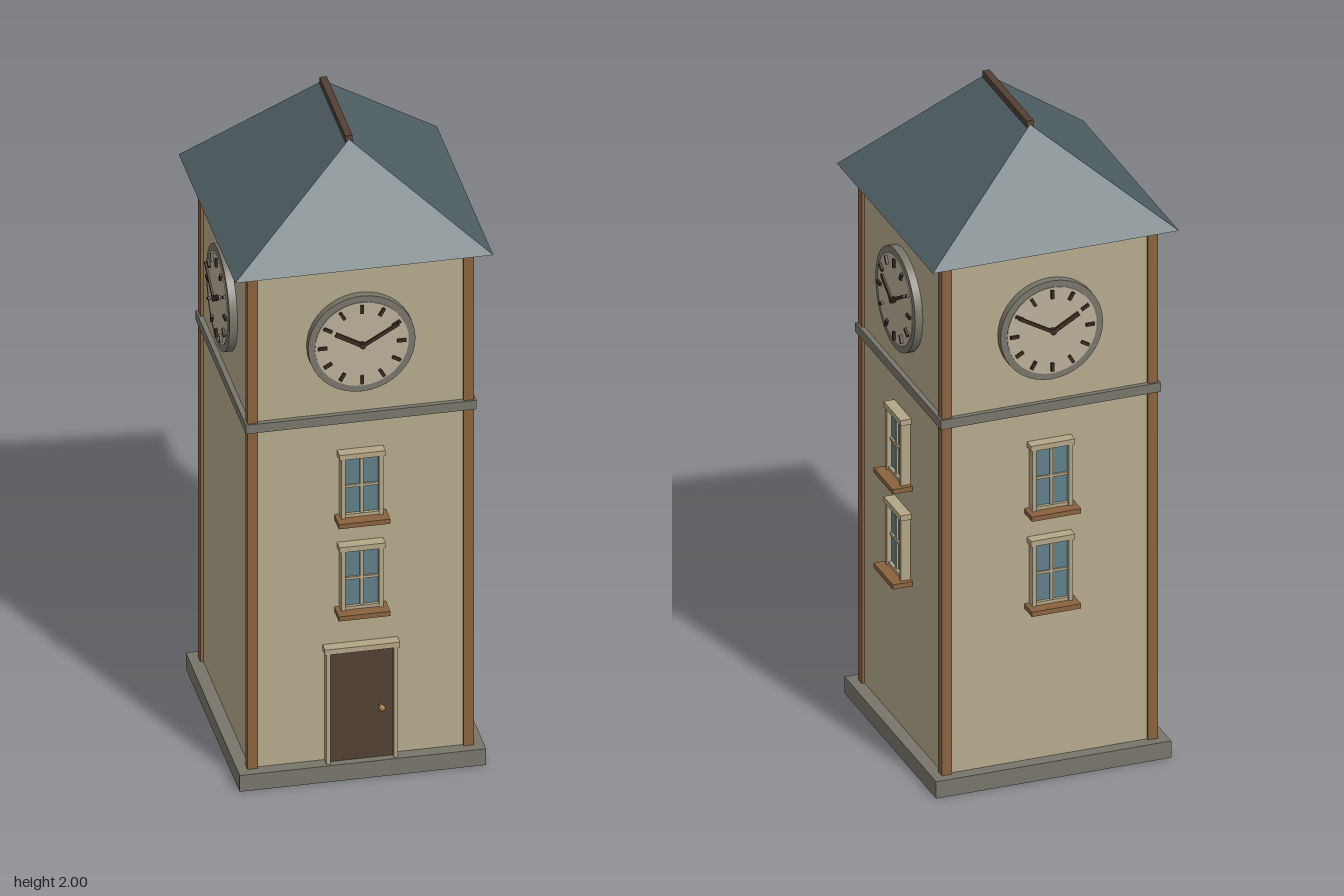
import * as THREE from 'three';

const paint = (name, hex) => {
  const m = new THREE.MeshStandardMaterial({ color: hex });
  m.name = name;
  return m;
};
const mats = {
  wall: paint('sandstone wall', 0xb5aa8d),
  cream: paint('cream frame', 0xb3a686),
  dial: paint('clock dial', 0xb9af98),
  stone: paint('grey stone', 0x78756a),
  wood: paint('warm timber', 0x8a623e),
  dark: paint('dark timber', 0x524034),
  hand: paint('clock hands', 0x3c2c22),
  roof: paint('slate roof', 0x4f6065),
  glass: paint('window glass', 0x5f7f8a),
  brass: paint('brass', 0x9c7440),
};
mats.roof.flatShading = true;

const WALL = 0.32;

function add(parent, name, geometry, material, x = 0, y = 0, z = 0) {
  const mesh = new THREE.Mesh(geometry, material);
  mesh.name = name;
  mesh.position.set(x, y, z);
  parent.add(mesh);
  return mesh;
}

// Box given by its x centre and its y and z ranges
function slab(parent, name, material, x, w, y0, y1, z0, z1) {
  return add(parent, name, new THREE.BoxGeometry(w, y1 - y0, z1 - z0), material,
    x, (y0 + y1) / 2, (z0 + z1) / 2);
}

function group(parent, name) {
  const g = new THREE.Group();
  g.name = name;
  parent.add(g);
  return g;
}

// Window with glass, frame, glazing bars, lintel and sill; y is the sill top
function addWindow(side, y) {
  const g = group(side, 'window');
  g.position.y = y;
  slab(g, 'glass', mats.glass, 0, 0.11, 0, 0.2, WALL - 0.01, 0.335);
  for (const s of [-1, 1]) slab(g, 'windowJamb', mats.cream, s * 0.055, 0.012, 0, 0.196, WALL - 0.01, 0.35);
  slab(g, 'bottomRail', mats.cream, 0, 0.11, 0, 0.01, WALL - 0.01, 0.345);
  slab(g, 'uprightBar', mats.cream, 0, 0.009, 0, 0.196, WALL, 0.342);
  slab(g, 'crossBar', mats.cream, 0, 0.11, 0.095, 0.103, WALL, 0.341);
  slab(g, 'lintel', mats.cream, 0, 0.134, 0.193, 0.21, WALL - 0.01, 0.353);
  slab(g, 'sill', mats.wood, 0, 0.15, -0.015, 0, WALL - 0.01, 0.38);
}

// Clock showing ten past ten; flip mirrors the hands
function addClock(side, flip) {
  const g = group(side, 'clock');
  g.position.y = 1.415;
  const disc = (name, mat, r, z0, z1) => {
    const geo = new THREE.CylinderGeometry(r, r, z1 - z0, 40).rotateX(Math.PI / 2);
    add(g, name, geo, mat, 0, 0, (z0 + z1) / 2);
  };
  disc('clockRim', mats.stone, 0.156, WALL - 0.01, 0.343);
  disc('clockDial', mats.dial, 0.136, 0.335, 0.345);
  disc('handHub', mats.hand, 0.009, 0.345, 0.36);
  // Radial bar running from r0 to r1
  const bar = (name, angle, r0, r1, w, z0, z1) => {
    const geo = new THREE.BoxGeometry(r1 - r0, w, z1 - z0)
      .translate((r0 + r1) / 2, 0, (z0 + z1) / 2).rotateZ(angle);
    add(g, name, geo, mats.hand);
  };
  for (let i = 0; i < 12; i++) bar('hourMark', i * Math.PI / 6, 0.102, 0.128, 0.009, 0.344, 0.352);
  const turn = a => (flip ? Math.PI - a : a);
  bar('minuteHand', turn(Math.PI / 6), -0.008, 0.12, 0.01, 0.354, 0.36);
  bar('hourHand', turn(Math.PI * 5 / 6), -0.008, 0.09, 0.013, 0.352, 0.358);
}

function addDoor(side) {
  const g = group(side, 'door');
  slab(g, 'doorPanel', mats.dark, 0, 0.188, 0.053, 0.415, WALL - 0.01, 0.335);
  for (const s of [-1, 1]) slab(g, 'doorJamb', mats.cream, s * 0.098, 0.012, 0.053, 0.415, WALL - 0.01, 0.35);
  slab(g, 'doorLintel', mats.cream, 0, 0.218, 0.413, 0.43, WALL - 0.01, 0.353);
  add(g, 'doorKnob', new THREE.SphereGeometry(0.01, 12, 8), mats.brass, 0.056, 0.222, 0.355);
  slab(g, 'knobStem', mats.brass, 0.056, 0.008, 0.218, 0.226, 0.33, 0.355);
}

// Hipped roof with its ridge along z
function hipRoof(half, y0, y1, ridge) {
  const c = [[-half, y0, half], [half, y0, half], [half, y0, -half], [-half, y0, -half]];
  const f = [0, y1, ridge], b = [0, y1, -ridge];
  const tris = [
    c[0], c[1], f,
    c[1], c[2], b, c[1], b, f,
    c[2], c[3], b,
    c[3], c[0], f, c[3], f, b,
    c[0], c[3], c[2], c[0], c[2], c[1],
  ];
  const geo = new THREE.BufferGeometry();
  geo.setAttribute('position', new THREE.Float32BufferAttribute(tris.flat(), 3));
  geo.computeVertexNormals();
  return geo;
}

export function createModel() {
  const model = new THREE.Group();
  model.name = 'clockTower';
  const tower = group(model, 'tower');
  tower.position.x = -0.003;

  // Body
  slab(tower, 'plinth', mats.stone, 0, 0.716, 0, 0.053, -0.358, 0.358);
  slab(tower, 'walls', mats.wall, 0, WALL * 2, 0.05, 1.68, -WALL, WALL);
  slab(tower, 'stringCourse', mats.stone, 0, 0.67, 1.155, 1.184, -0.335, 0.335);
  for (const x of [-1, 1]) for (const z of [-1, 1]) {
    add(tower, 'cornerPost', new THREE.BoxGeometry(0.03, 1.627, 0.03), mats.wood,
      x * 0.314, 0.8655, z * 0.314);
  }

  // Roof
  add(tower, 'roof', hipRoof(0.375, 1.677, 1.988, 0.172), mats.roof);
  slab(tower, 'ridgeCap', mats.dark, 0, 0.021, 1.978, 2, -0.172, 0.172);

  // Four sides: front, right, back, left
  ['frontSide', 'leftSide', 'backSide', 'rightSide'].forEach((name, i) => {
    const side = group(tower, name);
    side.rotation.y = i * Math.PI / 2;
    addClock(side, i >= 2);
    if (i < 3) [0.55, 0.852].forEach(y => addWindow(side, y));
    if (i === 0) addDoor(side);
  });
  return model;
}
